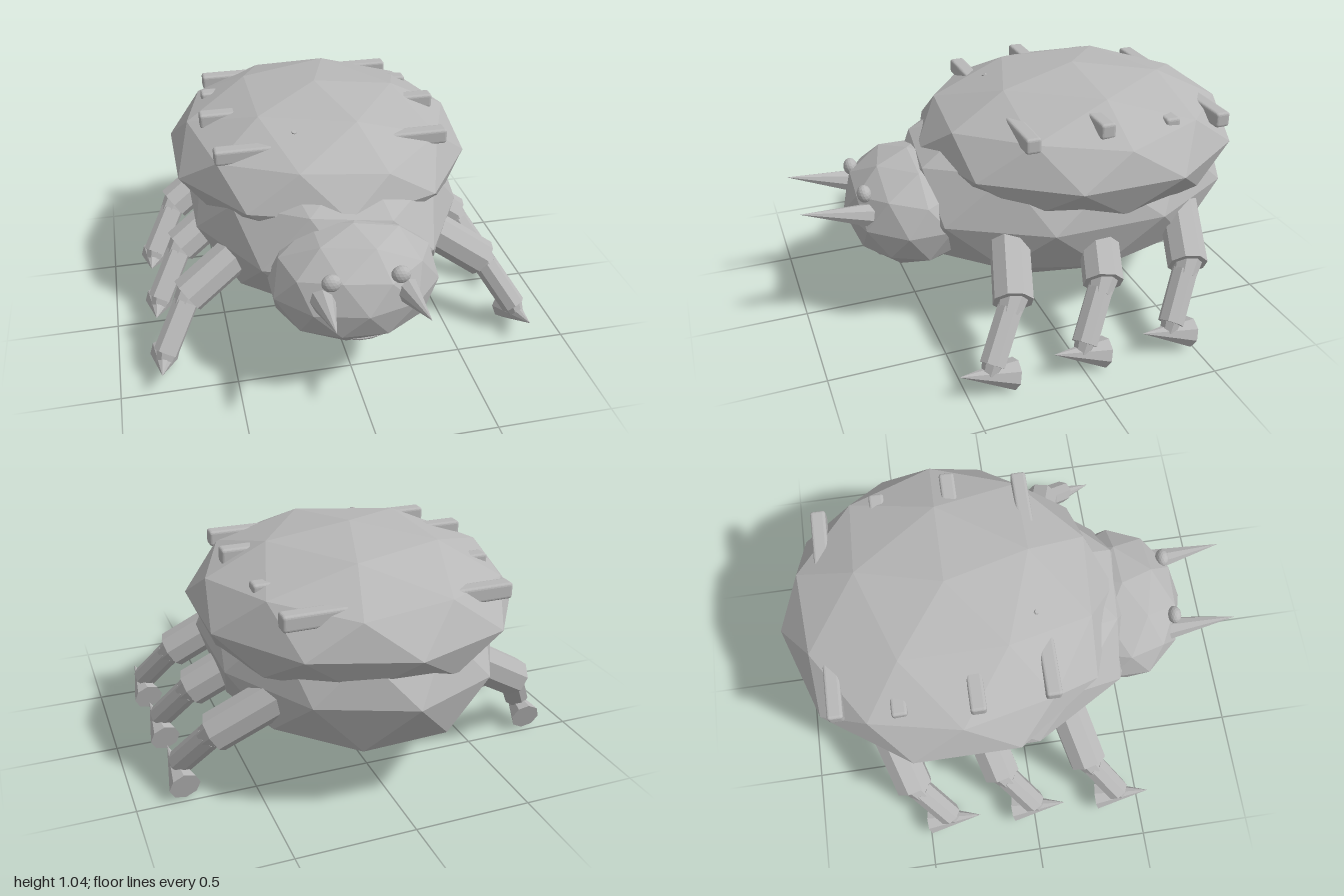
import * as THREE from 'three';
import { RoundedBoxGeometry } from 'three/addons/geometries/RoundedBoxGeometry.js';

export function createModel() {
  const model = new THREE.Group();
  model.name = 'beetle';
  const grey = new THREE.MeshStandardMaterial({ color: 0xb8b8b8, flatShading: true });
  grey.name = 'stone grey';

  function add(parent, name, geometry) {
    const mesh = new THREE.Mesh(geometry, grey);
    mesh.name = name;
    parent.add(mesh);
    return mesh;
  }

  // Faceted ellipsoid with a corner at its top and bottom
  const tilt = Math.atan(2 / (1 + Math.sqrt(5)));
  function blob(parent, name, [x, y, z], [rx, ry, rz], detail = 1) {
    const g = new THREE.IcosahedronGeometry(1, detail);
    g.rotateZ(-tilt);
    g.scale(rx, ry, rz);
    g.translate(x, y, z);
    return add(parent, name, g);
  }

  // Cylinder or cone running from point a to point b
  const UP = new THREE.Vector3(0, 1, 0);
  function limb(parent, name, a, b, ra, rb, sides = 8) {
    const from = new THREE.Vector3(...a);
    const dir = new THREE.Vector3(...b).sub(from);
    const length = dir.length();
    const g = new THREE.CylinderGeometry(rb, ra, length, sides);
    g.translate(0, length / 2, 0);
    const mesh = add(parent, name, g);
    mesh.quaternion.setFromUnitVectors(UP, dir.normalize());
    mesh.position.copy(from);
    return mesh;
  }

  // Body, shell and head
  blob(model, 'body', [0, 0.53, -0.2], [0.63, 0.43, 0.8]);
  blob(model, 'shell', [0, 0.73, -0.27], [0.69, 0.31, 0.73]);
  blob(model, 'head', [0, 0.49, 0.5], [0.365, 0.257, 0.295]);
  blob(model, 'mouth', [0.015, 0.302, 0.645], [0.1, 0.02, 0.045]);

  // Bars through the shell, showing as pegs on both sides: z, y, half length
  const bars = [[0.11, 0.903, 0.508], [-0.2, 0.93, 0.535], [-0.515, 0.892, 0.498], [-0.775, 0.866, 0.467]];
  for (const [z, y, half] of bars) {
    const bar = add(model, 'shellPegs', new RoundedBoxGeometry(half * 2, 0.066, 0.066, 2, 0.012));
    bar.position.set(0, y, z);
  }
  limb(model, 'shellBump', [-0.16, 0.93, 0.07], [-0.16, 0.972, 0.09], 0.022, 0.01, 6);

  for (const s of [1, -1]) {
    const side = s > 0 ? 'left' : 'right';

    // Eyes and horns
    blob(model, side + 'Eye', [s * 0.14, 0.63, 0.725], [0.04, 0.037, 0.03], 2);
    limb(model, side + 'Horn', [s * 0.17, 0.538, 0.69], [s * 0.18, 0.605, 1], 0.056, 0);

    // Three legs on each side
    ['front', 'middle', 'rear'].forEach((place, i) => {
      const leg = new THREE.Group();
      leg.name = `${side}${place[0].toUpperCase()}${place.slice(1)}Leg`;
      leg.position.z = -0.397 * i;
      model.add(leg);
      limb(leg, 'upperLeg', [s * 0.42, 0.485, 0.185], [s * 0.675, 0.32, 0.262], 0.085, 0.085);
      limb(leg, 'knee', [s * 0.66, 0.335, 0.255], [s * 0.7, 0.285, 0.29], 0.062, 0.05);
      limb(leg, 'lowerLeg', [s * 0.685, 0.3, 0.28], [s * 0.795, 0.13, 0.395], 0.055, 0.055);
      limb(leg, 'ankle', [s * 0.79, 0.14, 0.39], [s * 0.805, 0.095, 0.41], 0.045, 0.035);
      limb(leg, 'foot', [s * 0.796, 0.066, 0.305], [s * 0.818, 0.128, 0.538], 0.066, 0);
    });
  }
  return model;
}
